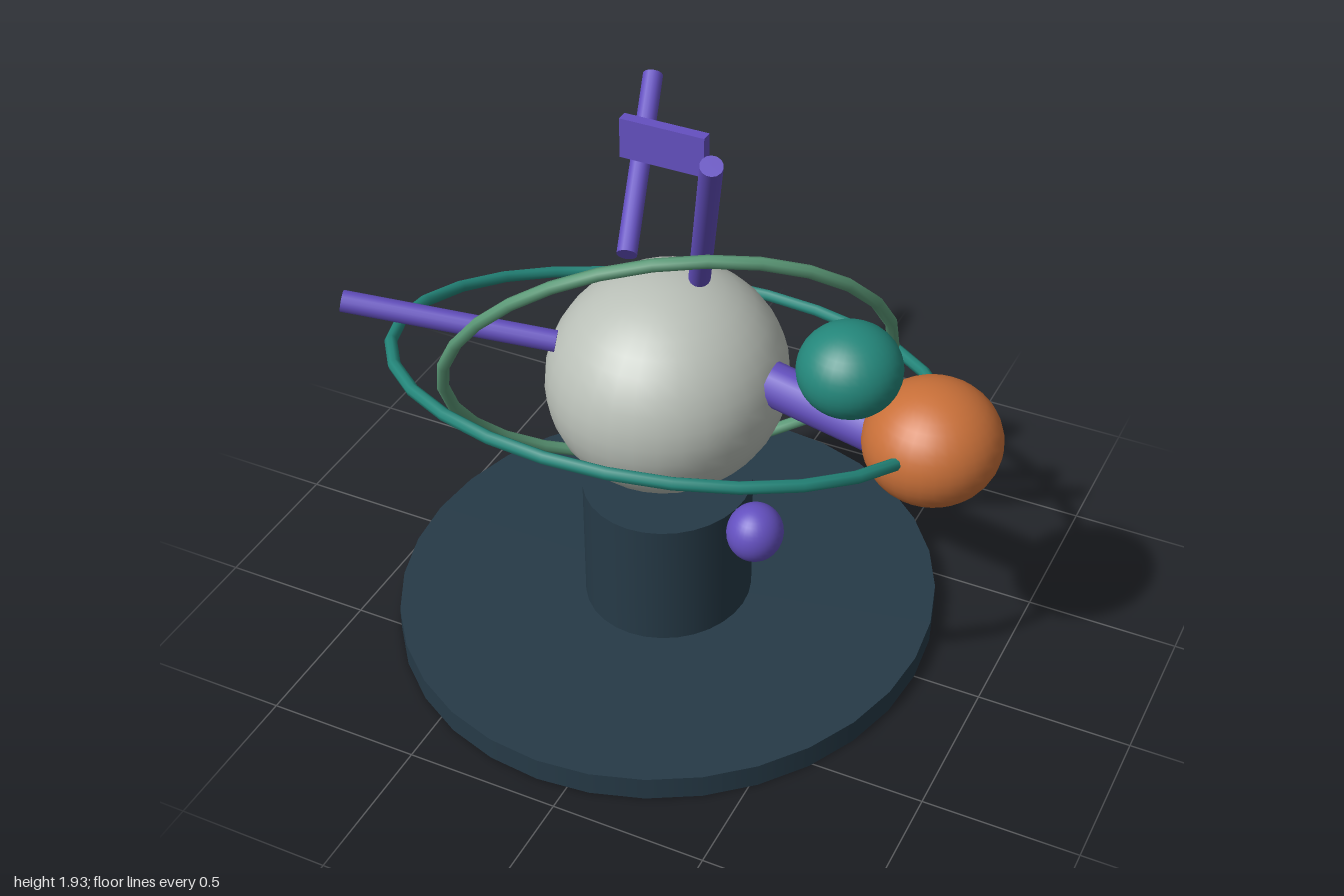
import * as THREE from 'three';

const V = (x, y, z) => new THREE.Vector3(x, y, z);

function material(name, color) {
  const m = new THREE.MeshStandardMaterial({ color });
  m.name = name;
  return m;
}

// Closed elliptical orbit: each axis is a cosine with its own amplitude and phase
class Orbit extends THREE.Curve {
  constructor(center, amplitude, phase) {
    super();
    Object.assign(this, { center, amplitude, phase });
  }
  getPoint(t, target = new THREE.Vector3()) {
    const [x, y, z] = this.amplitude.map(
      (a, i) => a * Math.cos(t * Math.PI * 2 - THREE.MathUtils.degToRad(this.phase[i])));
    return target.set(x, y, z).add(this.center);
  }
}

export function createModel() {
  const model = new THREE.Group();
  model.name = 'orbitSculpture';

  const slate = material('dark slate', 0x263a47);
  const stone = material('pale grey', 0xbac0b8);
  const teal = material('teal', 0x24877b);
  const green = material('soft green', 0x5c9a78);
  const orange = material('burnt orange', 0xc97039);
  const violet = material('violet', 0x6450c0);

  function add(name, geometry, mat, position) {
    const mesh = new THREE.Mesh(geometry, mat);
    mesh.name = name;
    if (position) mesh.position.copy(position);
    model.add(mesh);
    return mesh;
  }

  const ball = (name, mat, center, rx, ry, rz) =>
    add(name, new THREE.SphereGeometry(1, 32, 20).scale(rx, ry, rz), mat, center);

  const disc = (name, rx, rz, y0, y1) =>
    add(name, new THREE.CylinderGeometry(1, 1, y1 - y0, 32).scale(rx, 1, rz), slate,
      V(-0.1, (y0 + y1) / 2, 0));

  function rod(name, from, to, radius) {
    const along = to.clone().sub(from);
    const mesh = add(name, new THREE.CylinderGeometry(radius, radius, along.length(), 14), violet,
      from.clone().lerp(to, 0.5));
    mesh.quaternion.setFromUnitVectors(V(0, 1, 0), along.normalize());
  }

  const ring = (name, mat, orbit) =>
    add(name, new THREE.TubeGeometry(orbit, 28, 0.02, 8, true), mat);

  // Stand
  disc('base', 0.88, 0.922, 0, 0.08);
  disc('pedestal', 0.272, 0.29, 0.08, 0.52);

  // Balls
  ball('core', stone, V(-0.097, 0.93, 0), 0.38, 0.355, 0.4);
  ball('orangeBall', orange, V(0.782, 0.963, 0), 0.213, 0.19, 0.215);
  ball('tealBall', teal, V(0.617, 1.363, 0.286), 0.153, 0.137, 0.154);
  ball('smallBall', violet, V(0.412, 0.824, 0.46), 0.084, 0.089, 0.088);

  // Tilted rings
  ring('tealRing', teal, new Orbit(V(-0.1, 0.95, 0), [0.872, 0.206, 0.784], [0, 90, 90]));
  ring('greenRing', green, new Orbit(V(-0.1, 0.964, 0), [0.647, 0.61, 0.438], [0, 69.5, 121.5]));

  // Arm and floating rods
  rod('arm', V(0.25, 1.01, 0), V(0.66, 0.925, 0), 0.07);
  rod('frontRod', V(0.015, 1.33, 0.005), V(0.185, 1.915, 0.287), 0.034);
  rod('rightRod', V(-0.355, 1.132, 0.24), V(-0.955, 1.25, 0.478), 0.034);
  rod('backRod', V(-0.358, 1.16, -0.24), V(-0.525, 1.503, -0.772), 0.034);

  // Floating plate
  add('plate', new THREE.BoxGeometry(0.275, 0.13, 0.036), violet, V(-0.102, 1.755, 0));

  return model;
}
